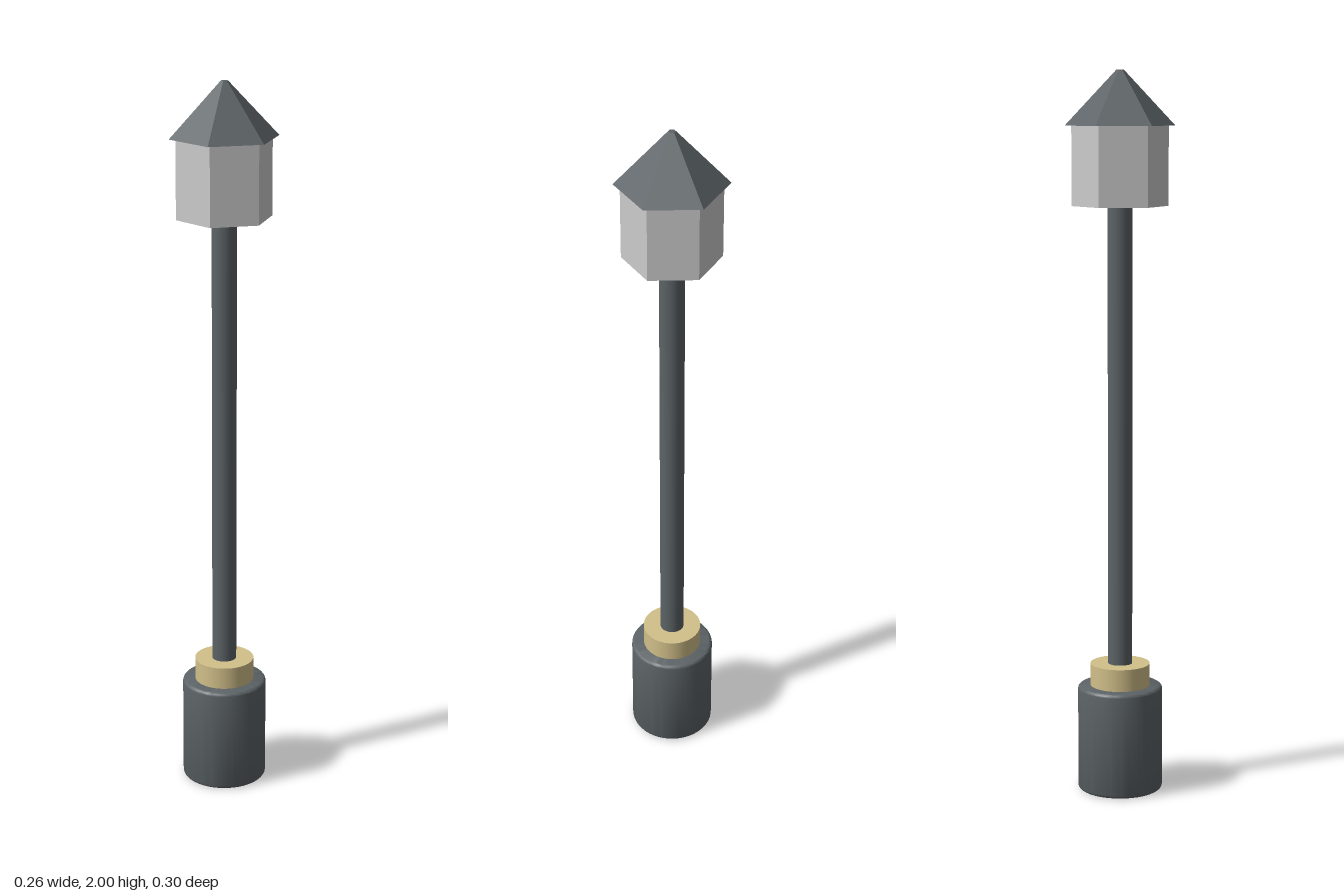
import * as THREE from 'three';
import { toCreasedNormals } from 'three/addons/utils/BufferGeometryUtils.js';

const dark = new THREE.MeshStandardMaterial({ color: 0x5c6366 });
const darkFlat = new THREE.MeshStandardMaterial({ color: 0x5c6366, flatShading: true });
const brass = new THREE.MeshStandardMaterial({ color: 0xd2c08a });
const glass = new THREE.MeshStandardMaterial({ color: 0xe4e4e4, flatShading: true });

export function createModel() {
  const group = new THREE.Group();
  group.name = 'lampPost';

  const add = (name, geometry, material) => {
    const mesh = new THREE.Mesh(geometry, material);
    mesh.name = name;
    group.add(mesh);
  };

  // Upright cylinder or prism between two heights
  const column = (rTop, rBottom, y0, y1, sides) =>
    new THREE.CylinderGeometry(rTop, rBottom, y1 - y0, sides).translate(0, (y0 + y1) / 2, 0);

  // Drum base with small rounded rims
  const r = 0.118, h = 0.298, bevel = 0.01, steps = 4;
  const profile = [new THREE.Vector2(0, 0)];
  const rim = (cy, start) => {
    for (let i = 0; i <= steps; i++) {
      const a = start + (i / steps) * Math.PI / 2;
      profile.push(new THREE.Vector2(r - bevel + bevel * Math.cos(a), cy + bevel * Math.sin(a)));
    }
  };
  rim(bevel, -Math.PI / 2);
  rim(h - bevel, 0);
  profile.push(new THREE.Vector2(0, h));
  add('base', toCreasedNormals(new THREE.LatheGeometry(profile, 48), 0.6), dark);

  // Collar and pole
  add('collar', column(0.083, 0.083, 0.29, 0.36, 48), brass);
  add('pole', column(0.034, 0.034, 0.28, 1.65, 32), dark);

  // Six-sided lantern with a pointed roof, corners facing front and back
  add('lantern', column(0.132, 0.132, 1.635, 1.853, 6), glass);
  add('roof', column(0.01, 0.15, 1.851, 2, 6), darkFlat);

  return group;
}
